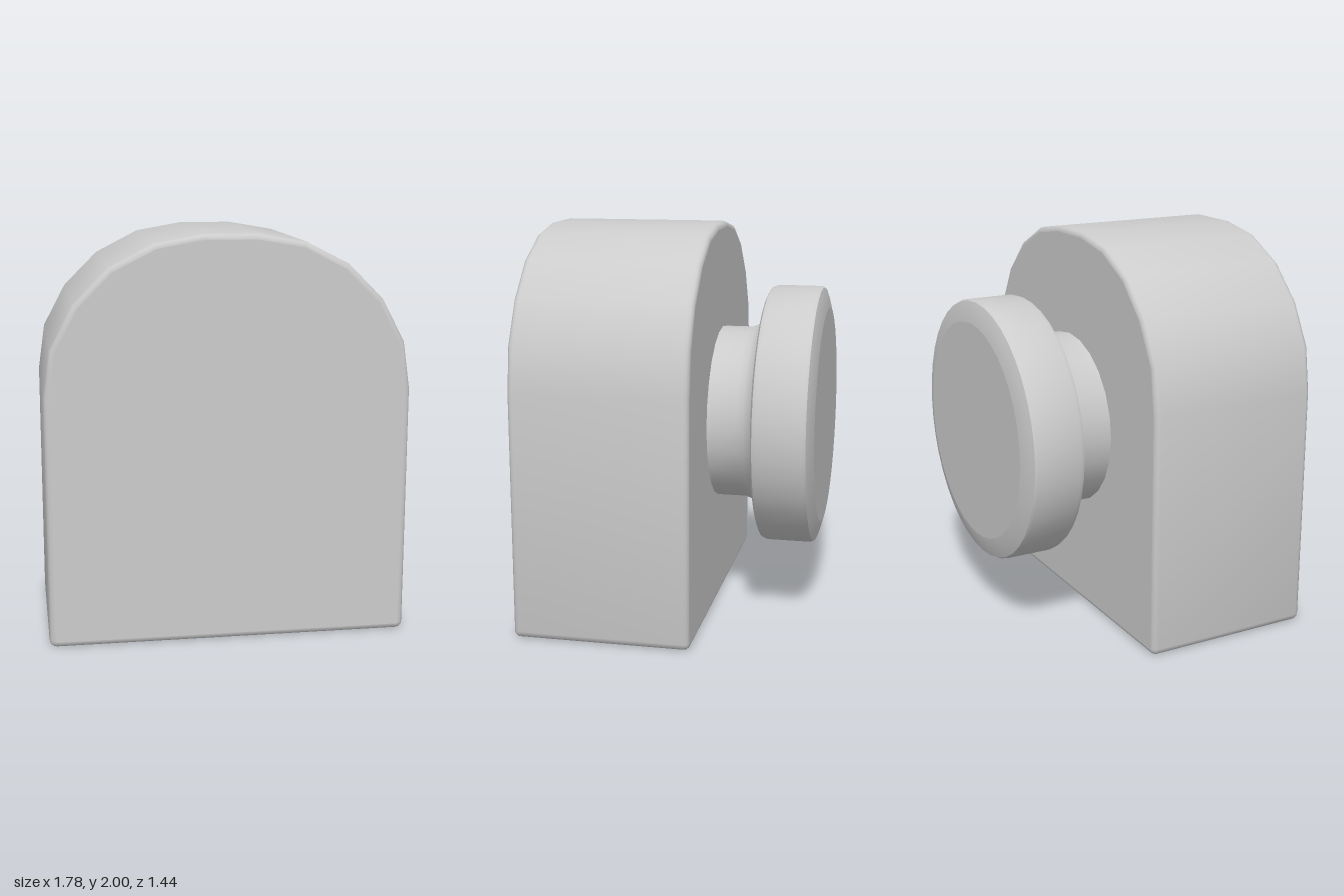
import * as THREE from 'three';
import { toCreasedNormals } from 'three/addons/utils/BufferGeometryUtils.js';

// Smooth the rounded edges but keep axis-aligned flats evenly shaded
function soften(geometry, angle) {
  const g = toCreasedNormals(geometry, angle);
  const p = g.attributes.position, n = g.attributes.normal;
  const tri = new THREE.Triangle(), face = new THREE.Vector3();
  for (let i = 0; i < p.count; i += 3) {
    tri.setFromAttributeAndIndices(p, i, i + 1, i + 2);
    tri.getNormal(face);
    const flat = Math.abs(face.z) > 0.999 || face.y < -0.999;
    if (flat) for (let k = 0; k < 3; k++) n.setXYZ(i + k, face.x, face.y, face.z);
  }
  return g;
}

export function createModel() {
  const group = new THREE.Group();
  const grey = new THREE.MeshStandardMaterial({ color: 0xcccccc });
  grey.name = 'plain grey';

  function add(name, geometry) {
    const mesh = new THREE.Mesh(geometry, grey);
    mesh.name = name;
    group.add(mesh);
  }

  // Arched block: right half of the outline, mirrored for the left
  const half = [
    [0.855, 0], [0.8725, 0.0047], [0.8853, 0.0175], [0.89, 0.035],
    [0.89, 1.24], [0.857, 1.47], [0.745, 1.68], [0.575, 1.85], [0.36, 1.96], [0.13, 2],
  ];
  const outline = [...half, ...half.map(([x, y]) => [-x, y]).reverse()];
  const shape = new THREE.Shape(outline.map(([x, y]) => new THREE.Vector2(x, y)));
  const bevel = 0.028;
  const body = new THREE.ExtrudeGeometry(shape, {
    depth: 0.89 - 2 * bevel, bevelEnabled: true, bevelThickness: bevel,
    bevelSize: bevel, bevelOffset: -bevel, bevelSegments: 3,
  });
  body.translate(0, 0, -0.17 + bevel);
  add('archedBody', soften(body, 0.62));

  // Turned parts: profiles of radius and distance behind the centre
  function turned(profile, sides) {
    const g = new THREE.LatheGeometry(profile.map(([r, d]) => new THREE.Vector2(r, d)), sides);
    g.rotateX(-Math.PI / 2);
    g.translate(0, 1.01, 0);
    return soften(g, 0.75);
  }

  add('stem', turned([
    [0.45, 0.15], [0.45, 0.32], [0.463, 0.355], [0.48, 0.39], [0.55, 0.42],
  ], 24));

  add('knob', turned([
    [0, 0.42], [0.64, 0.42], [0.662, 0.43], [0.67, 0.45], [0.67, 0.675],
    [0.663, 0.692], [0.64, 0.7], [0.56, 0.722], [0, 0.722],
  ], 40));

  return group;
}
